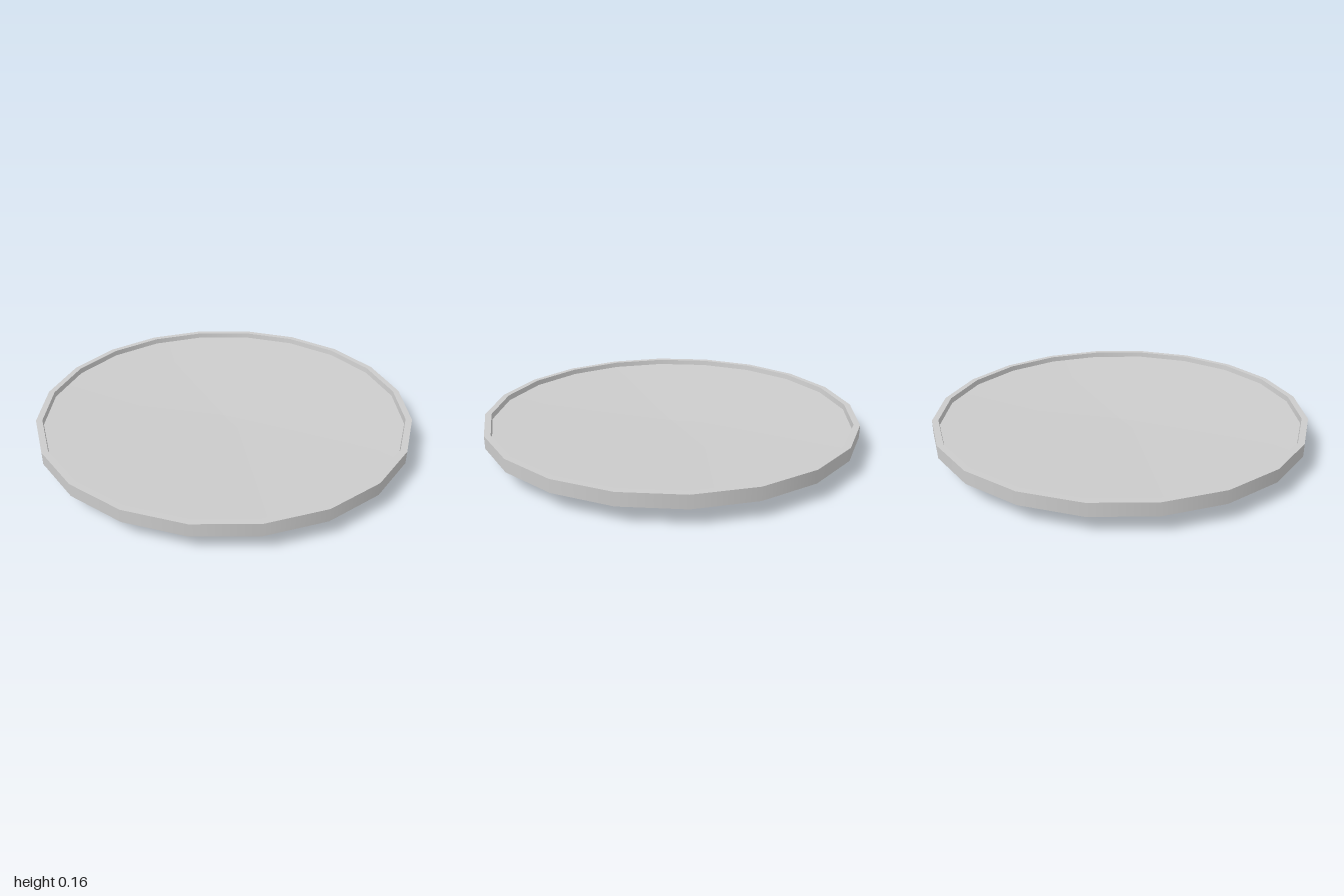
import * as THREE from 'three';

const SIDES = 20;

export function createModel() {
  const group = new THREE.Group();
  group.name = 'plate';
  const material = new THREE.MeshStandardMaterial({ color: 0xcccccc });

  // Closed profile as [radius, height], from the underside centre round to the top centre.
  // Each step is its own band, so edges stay sharp while the bands shade smoothly.
  const profile = [
    [0, 0.005], [0.545, 0.025], [0.53, 0.078], [1, 0.095],
    [1, 0.163], [0.967, 0.163], [0.963, 0.135], [0, 0.1],
  ];
  const names = ['footBase', 'footWall', 'underside', 'outerWall', 'rim', 'innerWall', 'dishFloor'];

  names.forEach((name, i) => {
    const points = [profile[i], profile[i + 1]].map(([r, y]) => new THREE.Vector2(r, y - 0.005));
    const band = new THREE.Mesh(new THREE.LatheGeometry(points, SIDES), material);
    band.name = name;
    group.add(band);
  });
  return group;
}
